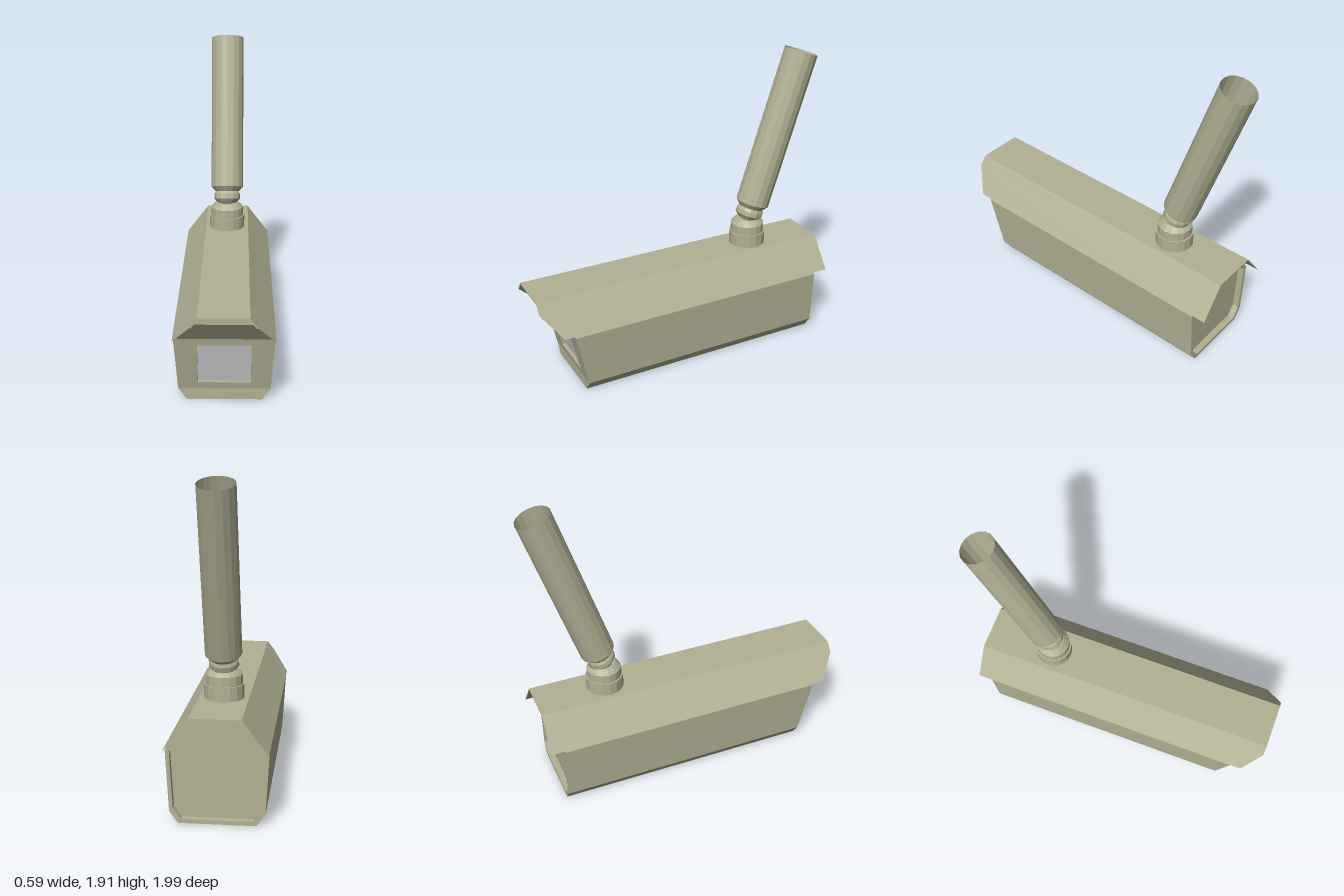
import * as THREE from 'three';

const paint = new THREE.MeshStandardMaterial({ color: 0xb2b194, flatShading: true, side: THREE.DoubleSide });
const glass = new THREE.MeshStandardMaterial({ color: 0xcccccc, flatShading: true, side: THREE.DoubleSide });

function add(parent, name, geometry, material = paint) {
  const mesh = new THREE.Mesh(geometry, material);
  mesh.name = name;
  parent.add(mesh);
  return mesh;
}

// Skin between successive loops of [x, y, z] points with equal counts
function loft(loops, closed = true) {
  const pos = [];
  for (let k = 0; k + 1 < loops.length; k++) {
    const a = loops[k], b = loops[k + 1], n = a.length;
    for (let i = 0; i < (closed ? n : n - 1); i++) {
      const j = (i + 1) % n;
      pos.push(...a[i], ...a[j], ...b[j], ...a[i], ...b[j], ...b[i]);
    }
  }
  const g = new THREE.BufferGeometry();
  g.setAttribute('position', new THREE.Float32BufferAttribute(pos, 3));
  g.computeVertexNormals();
  return g;
}

// Mirror half a profile (listed bottom to top on +x) into a counter-clockwise loop
const mirror = half => [...half, ...half.map(([x, y, z]) => [-x, y, z]).reverse()];
const atZ = (loop, z) => loop.map(([x, y]) => [x, y, z]);
const inset = (loop, s, cy) => loop.map(([x, y, z]) => [x * s, cy + (y - cy) * s, z]);

export function createModel() {
  const model = new THREE.Group();
  model.name = 'securityCamera';

  // Housing: half profile as x, y and the z of the front edge
  const half = [[0.22, 0, 0.74], [0.27, 0.07, 0.74], [0.29, 0.425, 0.82], [0.19, 0.56, 0.92], [0.155, 0.612, 0.92]];
  const outline = mirror(half);
  const housing = new THREE.Group();
  housing.name = 'housing';
  model.add(housing);
  const back = atZ(outline, -0.89);
  const rim = inset(back, 0.92, 0.3);
  add(housing, 'housingShell', loft([back, outline]));
  add(housing, 'backRim', loft([atZ(rim, -0.85), rim, back]));
  add(housing, 'backPanel', loft([outline.map(() => [0, 0.3, -0.85]), atZ(rim, -0.85)]));

  // Front made of bands, the tall one with a window opening
  const faceZ = y => 0.74 + (y - 0.07) * 0.08 / 0.355;
  const win = [[-0.155, 0.115], [0.155, 0.115], [0.155, 0.38], [-0.155, 0.38]];
  for (let i = 0; i + 1 < half.length; i++) {
    const [x0, y0, z0] = half[i], [x1, y1, z1] = half[i + 1];
    const shape = new THREE.Shape([[-x0, y0], [x0, y0], [x1, y1], [-x1, y1]].map(p => new THREE.Vector2(...p)));
    if (i === 1) shape.holes.push(new THREE.Path(win.map(p => new THREE.Vector2(...p)).reverse()));
    const g = new THREE.ShapeGeometry(shape);
    const p = g.attributes.position;
    for (let v = 0; v < p.count; v++) p.setZ(v, z0 + (z1 - z0) * (p.getY(v) - y0) / (y1 - y0));
    g.computeVertexNormals();
    add(housing, 'frontBand', g);
  }
  const edge = win.map(([x, y]) => [x, y, faceZ(y)]);
  const pane = win.map(([x, y]) => [x, y, faceZ(y) - 0.025]);
  add(housing, 'windowFrame', loft([edge, pane]));
  add(housing, 'window', loft([[pane[0], pane[1]], [pane[3], pane[2]]], false), glass);

  // Sunshade: thin folded sheet with clipped front corners
  const outer = mirror([[0.293, 0.44, 0.89], [0.19, 0.575, 1], [0.145, 0.635, 1]]);
  const inner = mirror([[0.293, 0.44, 0.89], [0.181, 0.573, 1], [0.14, 0.626, 1]]);
  const outerBack = atZ(outer, -0.98), innerBack = atZ(inner, -0.98);
  add(model, 'sunshade', loft([outerBack, outer, inner, innerBack, outerBack], false));

  // Swivel base
  const lathe = (points, sides = 16) => new THREE.LatheGeometry(points.map(p => new THREE.Vector2(...p)), sides);
  const mount = new THREE.Group();
  mount.name = 'mount';
  mount.position.set(0, 0.63, -0.53);
  model.add(mount);
  add(mount, 'swivelBase', lathe([[0, 0], [0.118, 0], [0.118, 0.088], [0.108, 0.088], [0.108, 0.145], [0.075, 0.178], [0, 0.178]]));

  // Ball joint and leaning open pole
  const arm = new THREE.Group();
  arm.name = 'arm';
  arm.position.y = 0.17;
  arm.rotation.x = -0.32;
  mount.add(arm);
  add(arm, 'ballJoint', lathe([[0, -0.02], [0.06, 0], [0.088, 0.03], [0.088, 0.06], [0.07, 0.095], [0, 0.1]], 12));
  add(arm, 'pole', lathe([[0, 0.08], [0.08, 0.08], [0.108, 0.112], [0.108, 1.137]]));
  return model;
}
